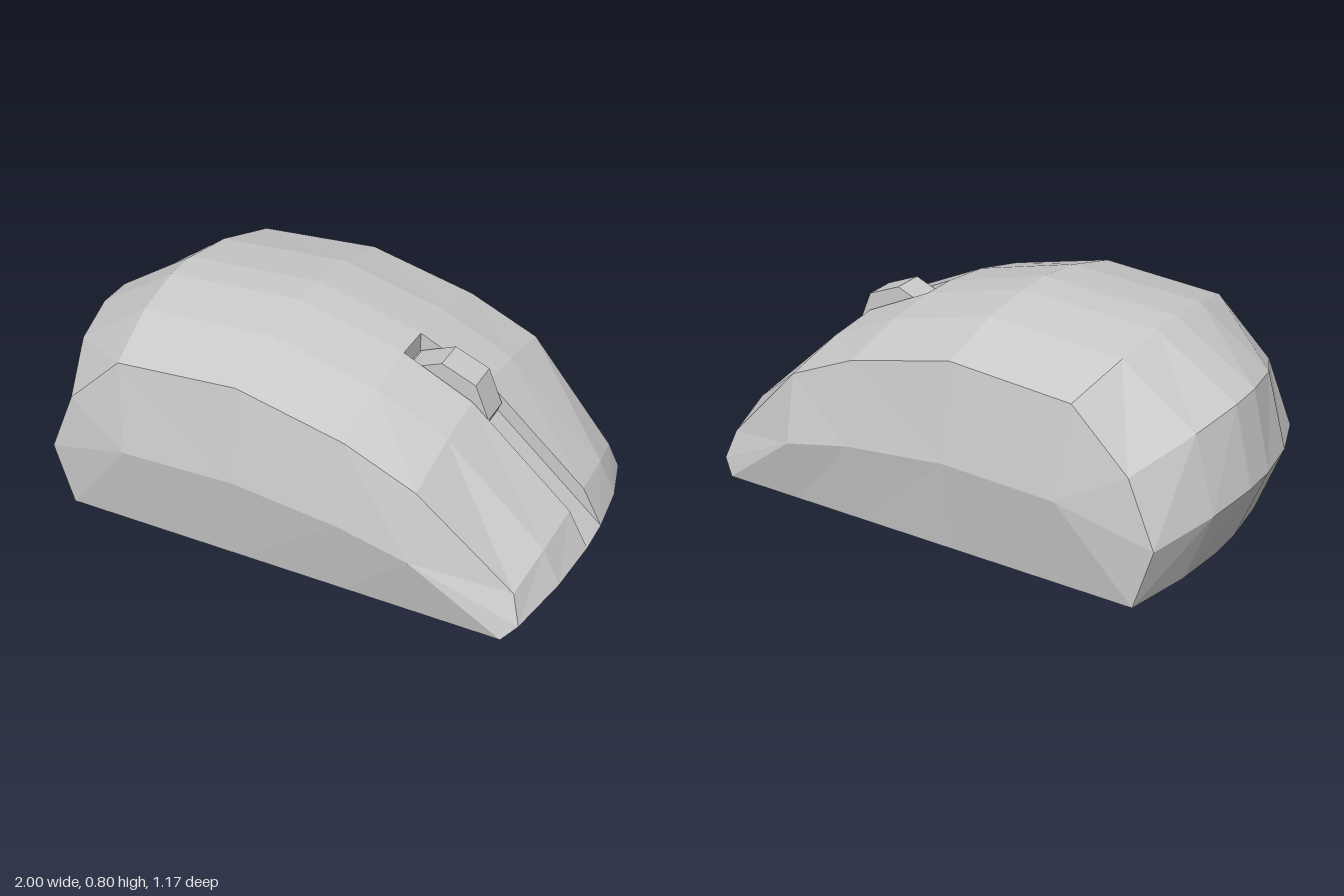
import * as THREE from 'three';

// Profiles in x, y running from the rear underside over the top to the front underside
const CENTRE = [[-0.89, 0], [-1, 0.28], [-0.93, 0.575], [-0.63, 0.77], [-0.11, 0.803],
  [0.29, 0.70], [0.55, 0.575], [0.925, 0.24], [1, 0.103], [0.935, 0]];
// Same profile at the outer edge of the top, as x, y, z
const EDGE = [[-0.81, 0, 0.53], [-0.88, 0.23, 0.53], [-0.78, 0.47, 0.53], [-0.57, 0.675, 0.53],
  [-0.11, 0.71, 0.53], [0.29, 0.615, 0.53], [0.55, 0.50, 0.53], [0.885, 0.16, 0.47],
  [0.92, 0.053, 0.5], [0.87, 0, 0.53]];
// Widest line of the flanks
const BELT = [[-0.54, 0.34], [-0.11, 0.355], [0.29, 0.31], [0.55, 0.25]].map(([x, y]) => [x, y, 0.585]);
const SLOT = 0.07; // half width of the wheel channel

const material = new THREE.MeshStandardMaterial({ color: 0xcccccc, flatShading: true });

// Collects polygons as triangle fans and turns them into a mesh
function faceted(name, polygons) {
  const positions = [];
  for (const p of polygons) {
    for (let i = 1; i < p.length - 1; i++) positions.push(...p[0], ...p[i], ...p[i + 1]);
  }
  const geometry = new THREE.BufferGeometry();
  geometry.setAttribute('position', new THREE.Float32BufferAttribute(positions, 3));
  geometry.computeVertexNormals();
  const mesh = new THREE.Mesh(geometry, material);
  mesh.name = name;
  return mesh;
}

const mirror = (polygon) => polygon.map(([x, y, z]) => [x, y, -z]).reverse();

// Point of the shell on profile row i, column j (0..5 from -z to +z)
function shellPoint(i, j) {
  const side = j < 3 ? -1 : 1;
  const k = j < 3 ? 2 - j : j - 3; // 0 centre, 1 middle, 2 edge
  const t = [0, 0.28, 1][k];
  const [cx, cy] = CENTRE[i];
  const [ex, ey, ez] = EDGE[i];
  return [cx + (ex - cx) * t, cy + (ey - cy) * t, side * [SLOT, 0.28, ez][k]];
}

const cell = (i, n, j) => [shellPoint(i, j), shellPoint(i, j + 1), shellPoint(n, j + 1), shellPoint(n, j)];

export function createModel() {
  const model = new THREE.Group();
  model.name = 'computerMouse';

  // Domed top, rear and nose, left open along the wheel channel
  const shell = [];
  const base = [];
  for (let j = 0; j < 5; j++) {
    for (let i = 0; i < 9; i++) {
      const inChannel = j === 2 && i >= 5 && i < 8;
      if (!inChannel) shell.push(cell(i, i + 1, j));
    }
    base.push(cell(9, 0, j));
  }
  model.add(faceted('topShell', shell), faceted('base', base));

  // Flanks: fans at both ends, two bands between
  const foot = BELT.map(([x]) => [x, 0, 0.53]);
  const flank = [[EDGE[0], foot[0], BELT[0]], [foot[3], EDGE[9], BELT[3]]];
  for (let i = 0; i < 3; i++) {
    flank.push([EDGE[i], BELT[0], EDGE[i + 1]]);
    flank.push([EDGE[i + 6], BELT[3], EDGE[i + 7]]);
    flank.push([EDGE[i + 3], BELT[i], BELT[i + 1], EDGE[i + 4]]);
    flank.push([foot[i], foot[i + 1], BELT[i + 1], BELT[i]]);
  }
  model.add(faceted('leftFlank', flank.map(mirror)), faceted('rightFlank', flank));

  // Sunken channel running from the wheel down to the nose
  const at = ([x, y], z) => [x, y, z];
  const floor = [[0.29, 0.63], [0.55, 0.505], CENTRE[8]];
  const wall = [floor[1], CENTRE[8], CENTRE[7], CENTRE[6], CENTRE[5], floor[0]].map((p) => at(p, -SLOT));
  const channel = [wall, mirror(wall)];
  for (let i = 0; i < 2; i++) {
    channel.push([at(floor[i], -SLOT), at(floor[i], SLOT), at(floor[i + 1], SLOT), at(floor[i + 1], -SLOT)]);
  }
  channel.push([at(floor[0], SLOT), at(floor[0], -SLOT), at(CENTRE[5], -SLOT), at(CENTRE[5], SLOT)]);
  model.add(faceted('wheelChannel', channel));

  // Eight-sided scroll wheel
  const wheel = new THREE.Mesh(new THREE.CylinderGeometry(0.18, 0.18, 0.12, 8), material);
  wheel.name = 'scrollWheel';
  wheel.rotation.x = Math.PI / 2;
  wheel.position.set(0.427, 0.51, 0);
  model.add(wheel);

  return model;
}
